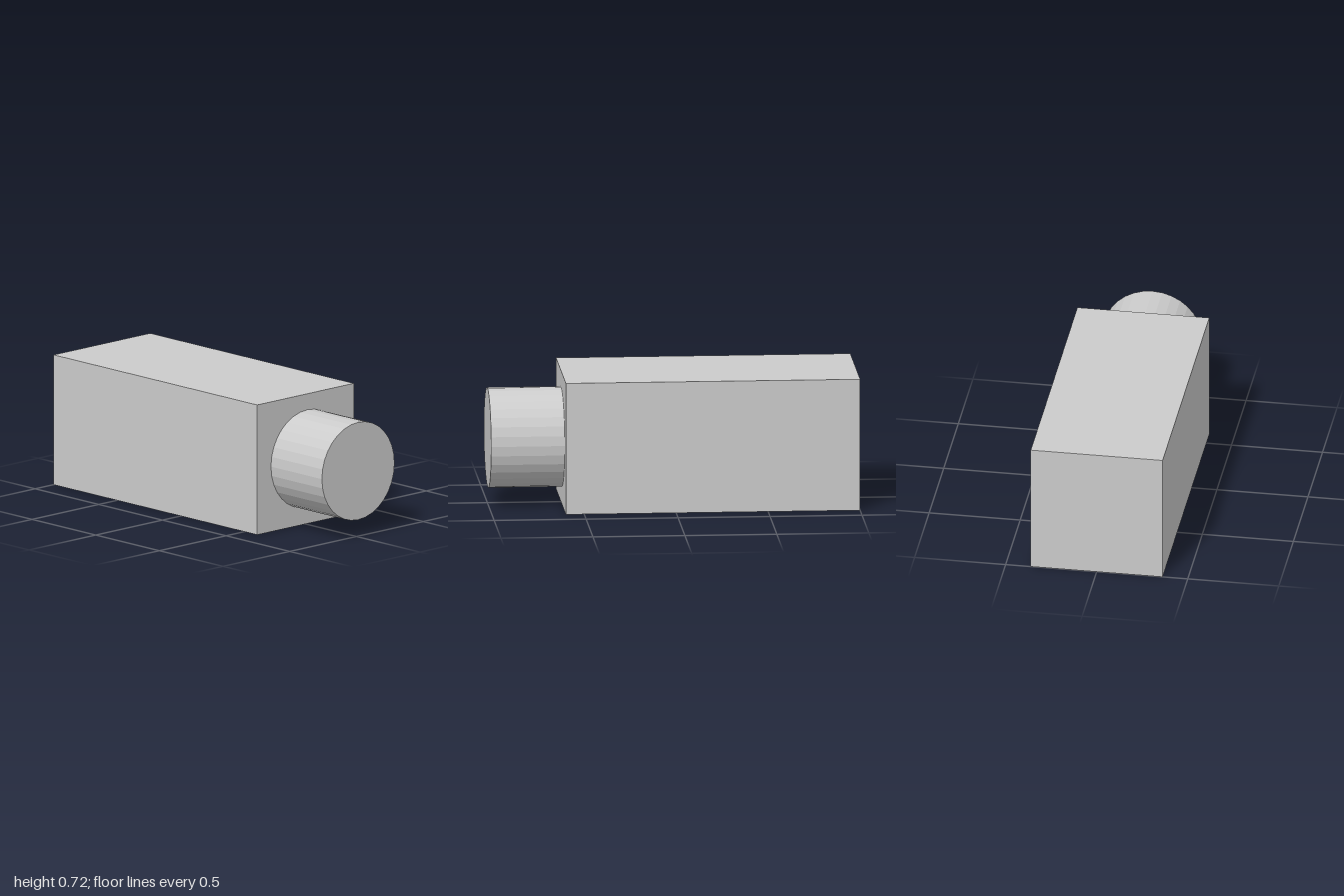
import * as THREE from 'three';

const SIZE = 0.724;      // width and height of the body
const FRONT = 0.6;       // z of the body's front face
const RADIUS = 0.272;

export function createModel() {
  const group = new THREE.Group();
  const material = new THREE.MeshStandardMaterial({ color: 0xcccccc, flatShading: true });

  // Long square body
  const body = new THREE.Mesh(new THREE.BoxGeometry(SIZE, SIZE, 1 + FRONT), material);
  body.name = 'body';
  body.position.set(0, SIZE / 2, (FRONT - 1) / 2);
  group.add(body);

  // Faceted round barrel on the front, slightly off centre
  const barrelGeometry = new THREE.CylinderGeometry(RADIUS, RADIUS, 1 - FRONT, 32);
  barrelGeometry.rotateX(Math.PI / 2);
  const barrel = new THREE.Mesh(barrelGeometry, material);
  barrel.name = 'lensBarrel';
  barrel.position.set(0.013, 0.363, (1 + FRONT) / 2);
  group.add(barrel);

  return group;
}
